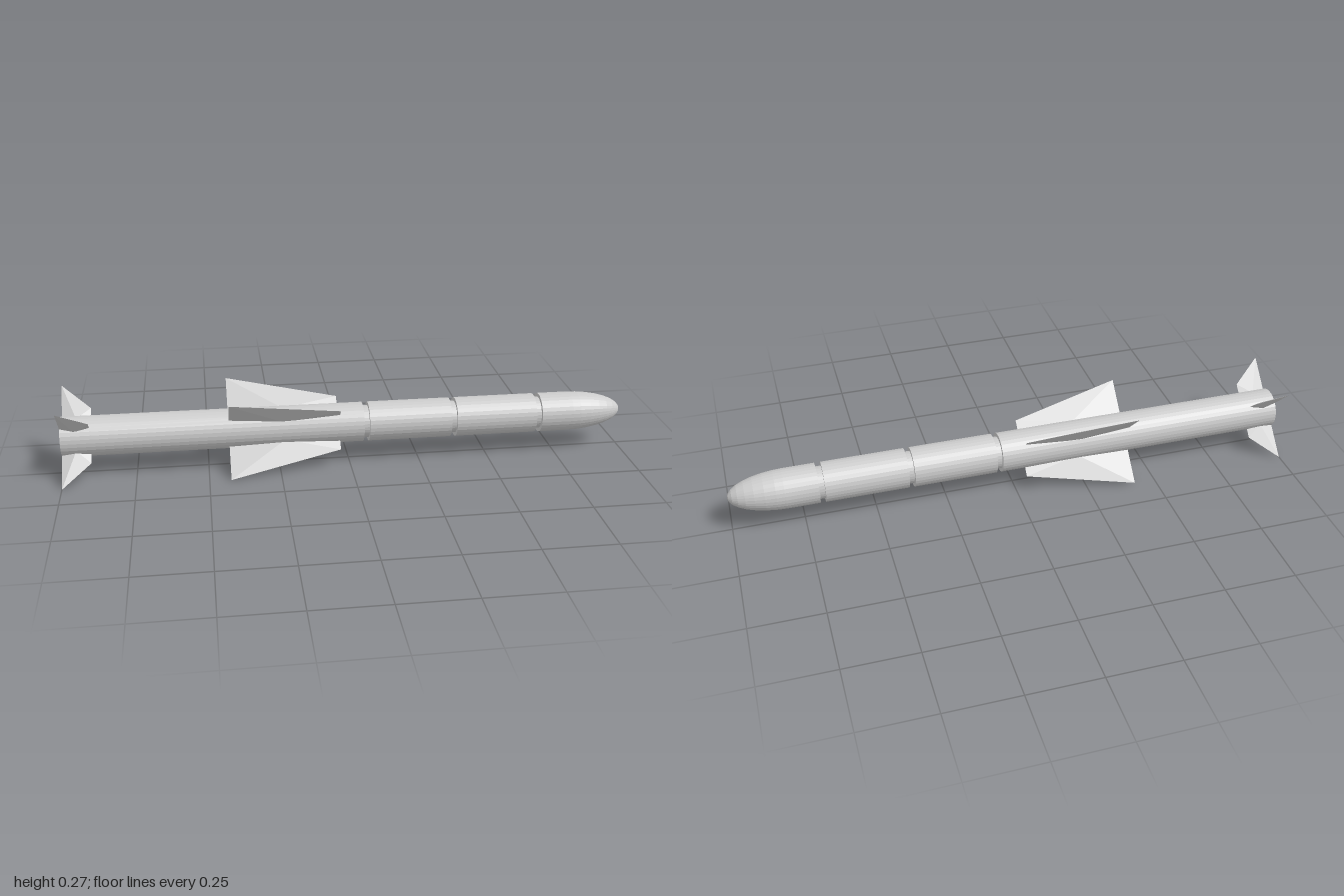
import * as THREE from 'three';

const AXIS_Y = 0.137;   // height of the body axis
const R = 0.07;         // body radius

export function createModel() {
  const model = new THREE.Group();
  model.name = 'finnedRocket';
  const grey = new THREE.MeshStandardMaterial({ color: 0xcccccc, flatShading: true });
  grey.name = 'light grey';

  const airframe = new THREE.Group();
  airframe.name = 'airframe';
  airframe.position.y = AXIS_Y;
  model.add(airframe);

  const add = (geometry, name) => {
    const mesh = new THREE.Mesh(geometry, grey);
    mesh.name = name;
    airframe.add(mesh);
    return mesh;
  };

  // Profile of [x, radius] pairs turned about the x axis
  const turned = (profile, sides) => new THREE.LatheGeometry(
    profile.map(([x, r]) => new THREE.Vector2(r, x)), sides).rotateZ(-Math.PI / 2);

  // Body tube with closed tail and three joint grooves
  const tube = [[-1, 0], [-1, R]];
  for (const x of [0.06, 0.375, 0.685]) {
    tube.push([x - 0.01, R], [x - 0.01, R - 0.013], [x + 0.01, R - 0.013], [x + 0.01, R]);
  }
  tube.push([0.81, R]);
  add(turned(tube, 32), 'body');

  // Rounded nose
  const nose = [];
  for (let i = 0; i <= 8; i++) {
    const a = (i / 8) * Math.PI / 2;
    nose.push([0.8 + 0.2 * Math.sin(a), i === 8 ? 0 : R * Math.cos(a)]);
  }
  add(turned(nose, 32), 'nose');

  // Fin: sharp edges all round, thickest at the middle of the root
  const finGeometry = (rear, front, frontR, tipR, half) => {
    const root = 0.06;
    const A = [front, root, 0], B = [rear, root, 0];
    const C = [front, frontR, 0], T = [rear, tipR, 0];
    const mid = (rear + front) / 2;
    const P = [mid, root, half], N = [mid, root, -half];
    const faces = [P, A, C, P, C, T, P, T, B, N, C, A, N, T, C, N, B, T];
    const g = new THREE.BufferGeometry();
    g.setAttribute('position', new THREE.Float32BufferAttribute(faces.flat(), 3));
    g.computeVertexNormals();
    return g;
  };

  const wing = finGeometry(-0.425, -0.035, 0.103, 0.1937, 0.014);
  const tail = finGeometry(-1, -0.9, 0.103, 0.1937, 0.012);
  for (let i = 0; i < 4; i++) {
    const angle = Math.PI / 4 + i * Math.PI / 2;
    add(wing, 'midFin').rotation.x = angle;
    add(tail, 'tailFin').rotation.x = angle;
  }
  return model;
}
